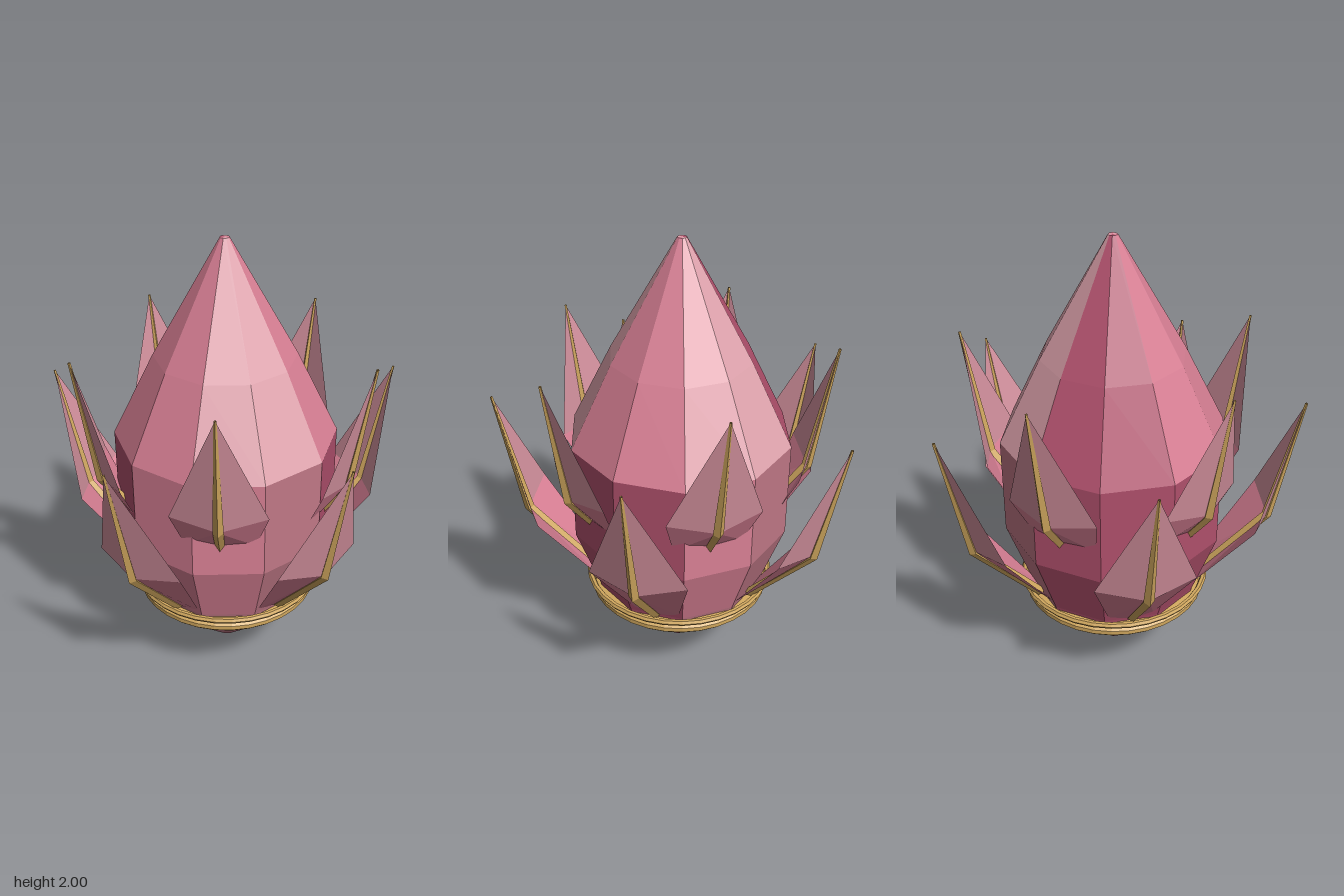
import * as THREE from 'three';

const paint = (name, color) => {
  const m = new THREE.MeshStandardMaterial({ color, flatShading: true, side: THREE.DoubleSide });
  m.name = name;
  return m;
};
const deep = paint('deep rose', 0xb0506c);
const rose = paint('rose pink', 0xd98095);
const pale = paint('pale dusty pink', 0xdfa3ad);
const blush = paint('petal blush', 0xd5929f);
const mauve = paint('dusky mauve', 0xc07886);
const gold = paint('gold', 0xd0a75e);

const rad = THREE.MathUtils.degToRad;

function add(parent, name, geometry, material) {
  const mesh = new THREE.Mesh(geometry, material);
  mesh.name = name;
  parent.add(mesh);
  return mesh;
}

function faces(points, index) {
  const g = new THREE.BufferGeometry();
  g.setAttribute('position', new THREE.Float32BufferAttribute(points.flat(), 3));
  g.setIndex(index);
  const flat = g.toNonIndexed();
  flat.computeVertexNormals();
  return flat;
}

// Diamond-section strip along a path in the x-y plane, tapering to the last point
function ribGeometry(path, widths) {
  const pts = [], index = [];
  path.forEach(([x, y], i) => {
    const a = path[Math.max(i - 1, 0)], b = path[Math.min(i + 1, path.length - 1)];
    const len = Math.hypot(b[0] - a[0], b[1] - a[1]);
    const nx = (b[1] - a[1]) / len, ny = -(b[0] - a[0]) / len, w = widths[i];
    pts.push([x + nx * w, y + ny * w, 0], [x, y, w], [x - nx * w, y - ny * w, 0], [x, y, -w]);
  });
  for (let i = 0; i < path.length - 1; i++) {
    for (let k = 0; k < 4; k++) {
      const a = i * 4 + k, b = i * 4 + (k + 1) % 4;
      index.push(a, a + 4, b, b, a + 4, b + 4);
    }
  }
  return faces(pts, index);
}

// Bent kite-shaped petal pointing along +x, with a gold rib down its middle
function makePetal(name, { base, side, mid, tip }) {
  const petal = new THREE.Group();
  petal.name = name;
  const [br, by, bw] = base, [sr, sy, sw] = side;
  const pts = [
    [br, by, 0], [br - 0.02, by, bw], [br - 0.02, by, -bw],
    [mid[0], mid[1], 0], [sr, sy, sw], [sr, sy, -sw], [tip[0], tip[1], 0],
  ];
  add(petal, 'petalBase', faces(pts, [0, 3, 1, 1, 3, 4, 0, 2, 3, 2, 5, 3]), rose);
  add(petal, 'petalTip', faces(pts, [3, 6, 4, 3, 5, 6]), blush);
  add(petal, 'petalRib', ribGeometry([[br, by], mid, tip], [0.02, 0.023, 0.006]), gold);
  return petal;
}

const profile = (points) => points.map(([r, y]) => new THREE.Vector2(r, y));

export function createModel() {
  const model = new THREE.Group();
  model.name = 'flowerBud';
  const flower = new THREE.Group();
  flower.name = 'flower';
  flower.position.x = -0.075;
  model.add(flower);

  // Ten-sided bud in three tiers, each side with its own tint
  const tiers = [
    {
      name: 'budFoot',
      points: [[0, 0], [0.055, 0], [0.36, 0.285], [0.385, 0.38]],
      tints: [mauve, deep, deep, mauve, mauve, deep, deep, deep, mauve, mauve],
    },
    {
      name: 'budCup',
      points: [[0.385, 0.38], [0.49, 0.68], [0.49, 1.12]],
      tints: [mauve, deep, deep, rose, mauve, deep, deep, deep, rose, rose],
    },
    {
      name: 'budTip',
      points: [[0.49, 1.12], [0.308, 1.49], [0.02, 2], [0, 2]],
      tints: [pale, rose, rose, pale, pale, deep, deep, rose, rose, pale],
    },
  ];
  for (const { name, points, tints } of tiers) {
    tints.forEach((tint, i) => {
      const start = rad(i * 36 - 18 + 90);
      add(flower, name, new THREE.LatheGeometry(profile(points), 1, start, rad(36)), tint);
    });
  }

  // Gold collar: a broad bevelled band with a thin ring above
  const band = profile([[0.35, 0.31], [0.395, 0.31], [0.41, 0.325], [0.41, 0.345], [0.395, 0.36], [0.36, 0.365]]);
  add(flower, 'collarBand', new THREE.LatheGeometry(band, 32), gold);
  const ring = add(flower, 'collarRing', new THREE.TorusGeometry(0.416, 0.014, 6, 32), gold);
  ring.rotation.x = Math.PI / 2;
  ring.position.y = 0.385;

  // Two whorls of five petals
  const outer = { base: [0.38, 0.39, 0.1], side: [0.625, 0.77, 0.21], mid: [0.68, 0.73], tip: [0.804, 1.3] };
  const inner = { base: [0.45, 0.81, 0.15], side: [0.51, 1.0, 0.205], mid: [0.56, 0.96], tip: [0.656, 1.53] };
  for (let i = 0; i < 5; i++) {
    const low = makePetal('outerPetal', outer);
    low.rotation.y = rad(i * 72);
    const high = makePetal('innerPetal', inner);
    high.rotation.y = rad(31.6 + i * 72);
    flower.add(low, high);
  }
  return model;
}
